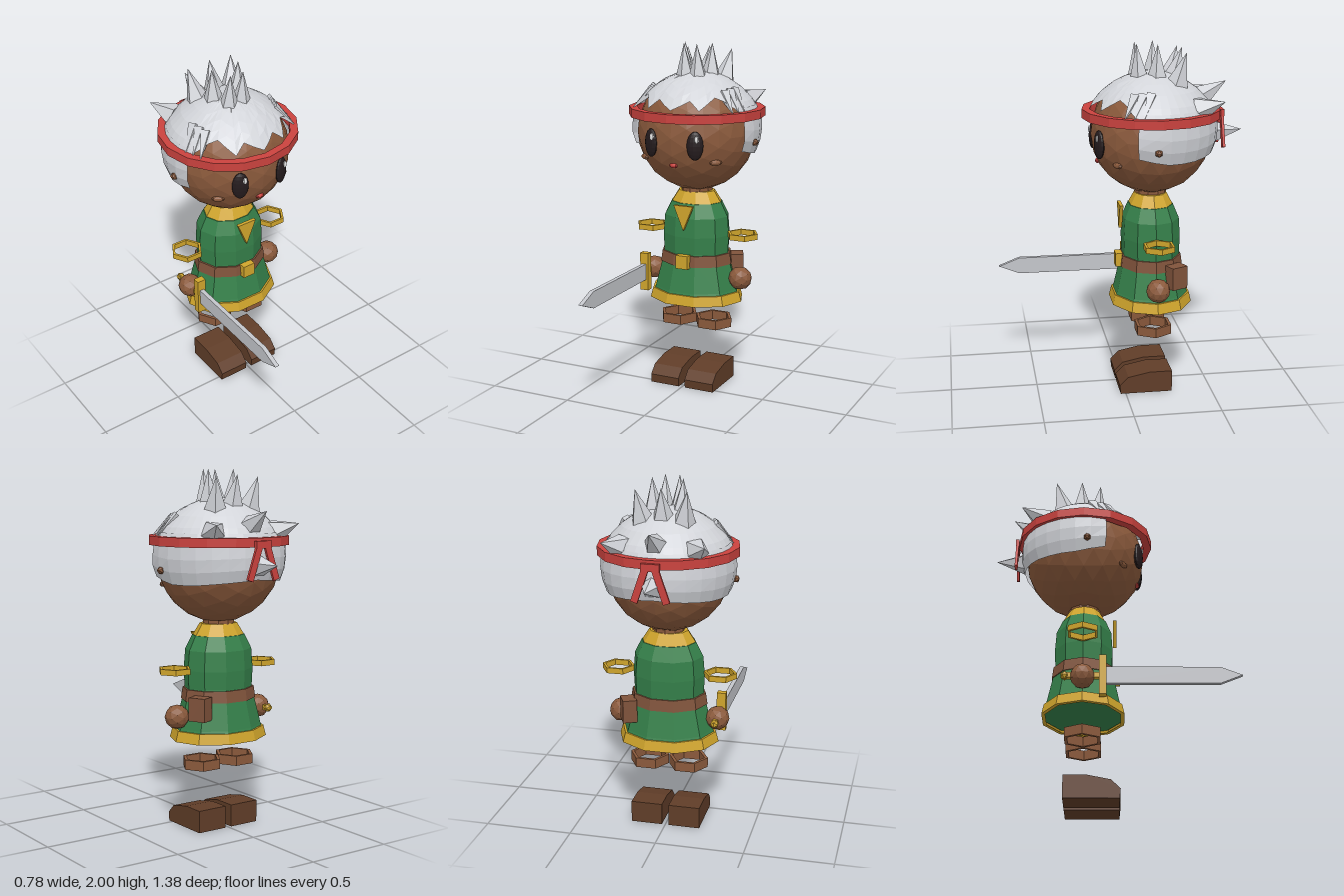
import * as THREE from 'three';

const CZ = -0.17;          // body axis
const HEAD_Y = 1.5, HEAD_R = 0.34;

const mat = (name, color) =>
  new THREE.MeshStandardMaterial({ name, color, flatShading: true, side: THREE.DoubleSide });

// Horizontal radius of the hair at a given height
const HAIR = [[1.85, 0], [1.835, 0.1], [1.79, 0.2], [1.73, 0.28], [1.65, 0.345], [1.58, 0.373], [1.48, 0.373], [1.38, 0.338]];
function hairRadius(y) {
  for (let i = 1; i < HAIR.length; i++) {
    const [y0, r0] = HAIR[i - 1], [y1, r1] = HAIR[i];
    if (y >= y1) return r0 + (r1 - r0) * (y0 - y) / (y0 - y1);
  }
  return HAIR[HAIR.length - 1][1];
}

// Hair sheet between two angles (0 = front), from a top height to a lower edge that varies with the angle
function hairSheet(a0, a1, cols, rows, top, power, bottom) {
  const pos = [], idx = [];
  for (let c = 0; c <= cols; c++) {
    const a = a0 + (a1 - a0) * c / cols;
    for (let k = 0; k <= rows; k++) {
      const y = top + (bottom(a) - top) * Math.pow(k / rows, power);
      const r = hairRadius(y), t = THREE.MathUtils.degToRad(a);
      pos.push(r * Math.sin(t), y, CZ + r * Math.cos(t));
      if (c < cols && k < rows) {
        const p = c * (rows + 1) + k, q = p + rows + 1;
        idx.push(p, p + 1, q, q, p + 1, q + 1);
      }
    }
  }
  const g = new THREE.BufferGeometry();
  g.setAttribute('position', new THREE.Float32BufferAttribute(pos, 3));
  g.setIndex(idx);
  g.computeVertexNormals();
  return g;
}

// Ten-sided body of revolution, flattened front to back
function bodyLathe(profile) {
  const g = new THREE.LatheGeometry(profile.map(p => new THREE.Vector2(...p)), 10, Math.PI / 2);
  return g.scale(1, 1, 0.83).translate(0, 0, CZ);
}

// Flat hexagonal ring lying level, corners on the x axis
function hexRing(outer, inner, height) {
  const hex = (r, P) => {
    const p = new P();
    for (let i = 0; i < 6; i++) p[i ? 'lineTo' : 'moveTo'](r * Math.cos(i * Math.PI / 3), r * Math.sin(i * Math.PI / 3));
    p.closePath();
    return p;
  };
  const s = hex(outer, THREE.Shape);
  s.holes.push(hex(inner, THREE.Path));
  return new THREE.ExtrudeGeometry(s, { depth: height, bevelEnabled: false })
    .translate(0, 0, -height / 2).rotateX(-Math.PI / 2);
}

// Extruded outline drawn in (z, y), spread along x and centred on x = 0
function sideExtrude(points, width) {
  const s = new THREE.Shape(points.map(p => new THREE.Vector2(...p)));
  return new THREE.ExtrudeGeometry(s, { depth: width, bevelEnabled: false })
    .translate(0, 0, -width / 2).rotateY(-Math.PI / 2);
}

const faceZ = (x, y) => CZ + Math.sqrt(HEAD_R ** 2 - x ** 2 - (y - HEAD_Y) ** 2);

export function createModel() {
  const skin = mat('skin', 0x8b5a3c), leather = mat('leather', 0x80533b), boot = mat('boot', 0x603d28);
  const green = mat('green cloth', 0x35804a), gold = mat('gold', 0xd0a52c), red = mat('red', 0xca423e);
  const hair = mat('silver hair', 0xd2d4d9), steel = mat('steel', 0xc3c5ca);
  const black = mat('eye black', 0x241b1d), white = mat('eye highlight', 0xe6e6e6);

  const model = new THREE.Group();
  model.name = 'swordBearer';
  const add = (name, geo, material, x = 0, y = 0, z = 0) => {
    const m = new THREE.Mesh(geo, material);
    m.name = name;
    m.position.set(x, y, z);
    model.add(m);
    return m;
  };
  const box = (name, material, w, h, d, x, y, z) => add(name, new THREE.BoxGeometry(w, h, d), material, x, y, z);
  const spike = (name, base, tip, r, sides = 5) => {
    const b = new THREE.Vector3(...base), t = new THREE.Vector3(...tip), d = t.clone().sub(b);
    const m = add(name, new THREE.ConeGeometry(r, d.length(), sides), hair);
    m.position.copy(b).lerp(t, 0.5);
    m.quaternion.setFromUnitVectors(new THREE.Vector3(0, 1, 0), d.normalize());
  };

  // Head and face
  add('head', new THREE.IcosahedronGeometry(HEAD_R, 3), skin, 0, HEAD_Y, CZ);
  add('mouth', new THREE.SphereGeometry(1, 8, 6).scale(0.025, 0.014, 0.014), red, 0, 1.345, faceZ(0, 1.345));
  for (const s of [-1, 1]) {
    const eye = add('eye', new THREE.SphereGeometry(1, 14, 10).scale(0.046, 0.08, 0.022), black, s * 0.135, 1.465, faceZ(0.135, 1.465));
    eye.rotation.y = s * 0.4;
    add('eyeHighlight', new THREE.SphereGeometry(1, 8, 6).scale(0.013, 0.02, 0.008), white,
      s * 0.135 + 0.016, 1.502, faceZ(0.135, 1.502) + 0.016 - s * 0.004);
    add('cheek', new THREE.SphereGeometry(1, 8, 6).scale(0.036, 0.016, 0.016), skin, s * 0.22, 1.365, faceZ(0.22, 1.365)).rotation.y = s * 0.6;
    add('ear', new THREE.IcosahedronGeometry(0.022, 0), skin, s * 0.368, 1.46, -0.15);
  }

  // Hair: crown with a jagged fringe, and a lower wrap around sides and back
  const fringe = [1.655, 1.68, 1.705, 1.655, 1.69, 1.72, 1.70, 1.66];
  add('hairCrown', hairSheet(-180, 180, 40, 5, 1.85, 1.6, a => fringe[Math.round(Math.abs(a) / 9)] ?? 1.62), hair);
  add('hairWrap', hairSheet(70, 290, 16, 4, 1.66, 1, a => {
    const f = Math.min(a - 70, 290 - a);
    return f < 25 ? 1.42 - 0.035 * f / 25 : 1.385 + 0.03 * Math.max(0, f - 50) / 60;
  }), hair);

  // Hair spikes on the crown, at the back, and side locks
  for (const s of [-1, 1]) {
    spike('crownSpike', [s * 0.04, 1.79, -0.10], [s * 0.04, 2.0, -0.08], 0.06);
    spike('crownSpike', [s * 0.075, 1.79, -0.19], [s * 0.085, 2.0, -0.19], 0.065);
    spike('crownSpike', [s * 0.11, 1.77, -0.29], [s * 0.14, 1.96, -0.34], 0.07);
    spike('backSpike', [s * 0.20, 1.66, -0.40], [s * 0.275, 1.71, -0.53], 0.075);
    for (let i = 0; i < 3; i++)
      spike('sideLock', [s * (0.24 - 0.01 * i), 1.75 - 0.005 * i, -0.13 + 0.04 * i], [s * (0.345 - 0.015 * i), 1.63, -0.07 + 0.05 * i], 0.035, 4);
  }
  spike('crownSpike', [0, 1.78, -0.29], [0, 1.97, -0.34], 0.07);
  spike('backSpike', [0, 1.68, -0.43], [0, 1.78, -0.595], 0.075);
  spike('lowBackSpike', [0, 1.49, -0.52], [0, 1.5, -0.69], 0.065);

  // Headband with its knot and tails
  add('headband', new THREE.LatheGeometry(
    [[0.345, 1.59], [0.39, 1.59], [0.39, 1.64], [0.345, 1.64], [0.345, 1.59]].map(p => new THREE.Vector2(...p)), 16), red, 0, 0, CZ);
  box('bandKnot', red, 0.1, 0.04, 0.02, 0, 1.605, -0.568);
  for (const s of [-1, 1])
    box('bandTail', red, 0.038, 0.2, 0.015, s * 0.055, 1.512, -0.568).rotation.z = s * 0.33;

  // Tunic, collar, belt and hem
  add('neck', new THREE.CylinderGeometry(0.09, 0.09, 0.1, 10), skin, 0, 1.13, CZ);
  add('tunic', bodyLathe([[0, 0.53], [0.275, 0.53], [0.255, 0.58], [0.21, 0.75], [0.2, 0.8], [0.205, 0.9], [0.196, 1.01], [0.155, 1.09], [0.1, 1.1]]), green);
  add('collar', bodyLathe([[0.1, 1.085], [0.155, 1.085], [0.11, 1.155], [0.08, 1.155]]), gold);
  add('belt', bodyLathe([[0.2, 0.73], [0.222, 0.73], [0.212, 0.795], [0.19, 0.795]]), leather);
  add('hem', bodyLathe([[0.262, 0.51], [0.288, 0.51], [0.272, 0.568], [0.25, 0.568]]), gold);
  const bib = new THREE.Shape([[-0.06, 1.09], [0, 0.945], [0.06, 1.09]].map(p => new THREE.Vector2(...p)));
  add('collarPoint', new THREE.ExtrudeGeometry(bib, { depth: 0.02, bevelEnabled: false }), gold, 0, 0, -0.006);
  box('buckle', gold, 0.075, 0.078, 0.04, 0, 0.762, 0.015);
  box('beltPouch', leather, 0.08, 0.13, 0.1, 0.205, 0.705, -0.285).rotation.y = 0.44;

  // Hands, cuffs, anklets and boots
  const bootOutline = [[-0.27, 0], [0.03, 0], [0.035, 0.05], [-0.015, 0.1], [-0.14, 0.125], [-0.27, 0.125]];
  for (const s of [-1, 1]) {
    add('hand', new THREE.IcosahedronGeometry(0.068, 1), skin, s * 0.28, 0.652, CZ);
    add('cuff', hexRing(0.093, 0.078, 0.032), gold, s * 0.293, 0.91, CZ);
    add('anklet', hexRing(0.113, 0.094, 0.055), skin, s * 0.1135, 0.373, CZ);
    add('boot', sideExtrude(bootOutline, 0.18), boot, s * 0.11, 0, 0);
  }

  // Sword held in the right hand, pointing forward
  const blade = [[-0.06, 0.605], [0.57, 0.605], [0.69, 0.653], [0.57, 0.7], [-0.06, 0.7]];
  add('blade', sideExtrude(blade, 0.025), steel, -0.282, 0, 0);
  box('guard', gold, 0.052, 0.225, 0.04, -0.282, 0.653, -0.06);
  box('grip', gold, 0.028, 0.03, 0.2, -0.282, 0.653, -0.16);
  add('pommel', new THREE.IcosahedronGeometry(0.026, 0), gold, -0.282, 0.653, -0.265);

  return model;
}
